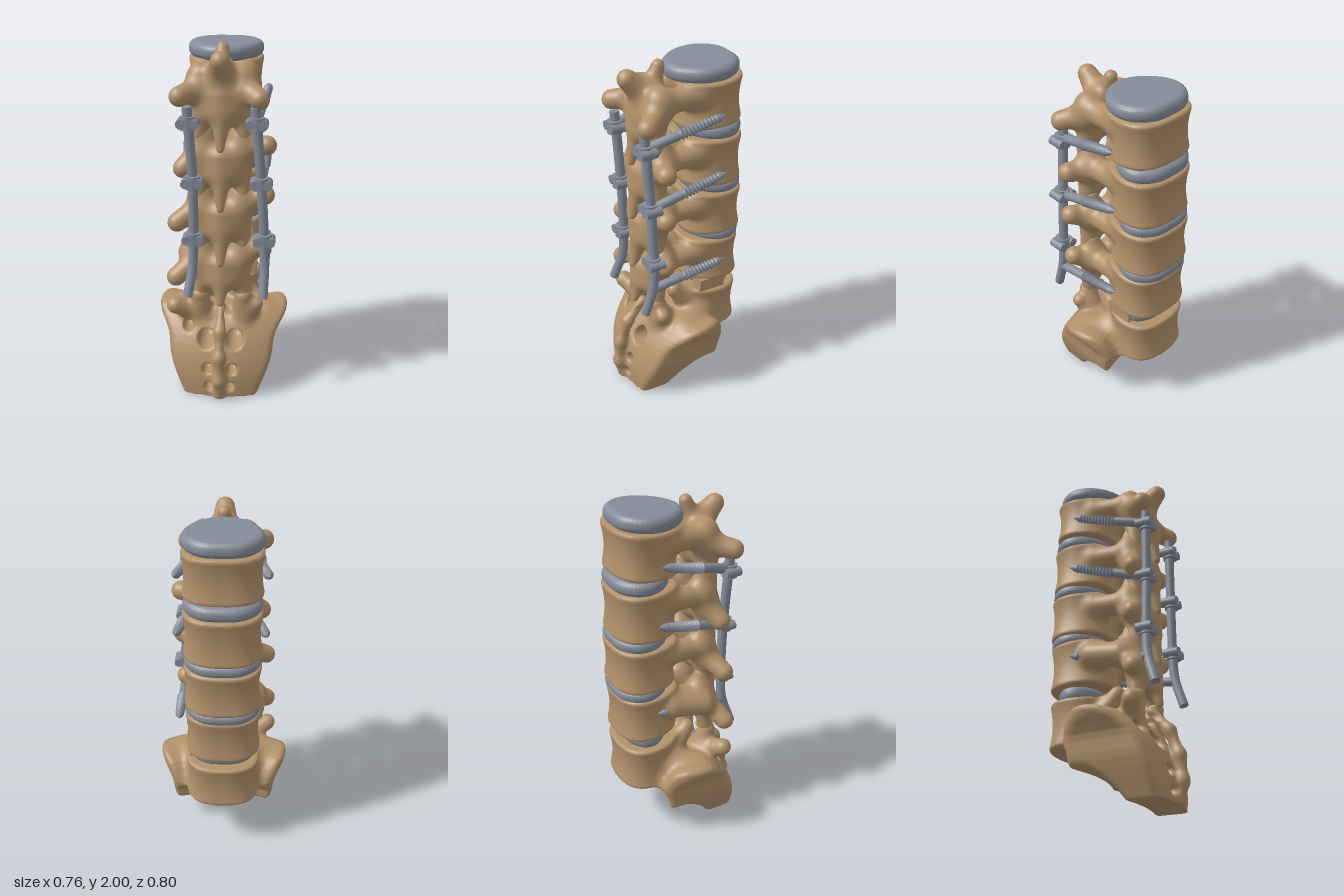
import * as THREE from 'three';

const bone = new THREE.MeshStandardMaterial({ color: 0xb2916b });
bone.name = 'bone tan';
const steel = new THREE.MeshStandardMaterial({ color: 0x858c99 });
steel.name = 'implant grey';

const V = (x, y, z) => new THREE.Vector3(x, y, z);
const clamp = THREE.MathUtils.clamp;

// ---- soft-blended solids, given as distance functions ----
const smin = (a, b, k) => {
  const h = Math.max(k - Math.abs(a - b), 0) / k;
  return Math.min(a, b) - h * h * k / 4;
};
const smax = (a, b, k) => -smin(-a, -b, k);

// tapered limb from a to b: [ax,ay,az, bx,by,bz, ra,rb]
function limb(x, y, z, [ax, ay, az, bx, by, bz, ra, rb]) {
  const dx = bx - ax, dy = by - ay, dz = bz - az, px = x - ax, py = y - ay, pz = z - az;
  const t = clamp((px * dx + py * dy + pz * dz) / (dx * dx + dy * dy + dz * dz), 0, 1);
  return Math.hypot(px - t * dx, py - t * dy, pz - t * dz) - ra - (rb - ra) * t;
}

// waisted drum with rounded rims; z is positive towards the arch
function drum(x, y, z, H, slope) {
  y -= slope * z;
  const waist = 0.018 * (1 - Math.min(1, (y / H) ** 2));
  const rz = 0.188 - waist, rx = (0.217 - waist) * (1 - 0.12 * clamp(z / rz, 0, 1));
  const d = ((Math.abs(x / rx) ** 2.6 + Math.abs(z / rz) ** 2.6) ** (1 / 2.6) - 1) * rz;
  return smax(d, Math.abs(y) - H, 0.025);
}

// signed distance to a closed outline
function outline(u, v, pts) {
  let d = Infinity, inside = false;
  pts.forEach(([ax, ay], i) => {
    const [bx, by] = pts[(i + 1) % pts.length];
    const ex = bx - ax, ey = by - ay;
    const t = clamp(((u - ax) * ex + (v - ay) * ey) / (ex * ex + ey * ey), 0, 1);
    d = Math.min(d, Math.hypot(u - ax - t * ex, v - ay - t * ey));
    if ((ay > v) !== (by > v) && u < ax + ex * (v - ay) / ey) inside = !inside;
  });
  return inside ? -d : d;
}

// closed smooth curve through a few flat points
const smoothLoop = (pts, n) => new THREE.CatmullRomCurve3(pts.map(([x, y]) => V(x, y, 0)), true)
  .getPoints(n).slice(0, -1).map(p => [p.x, p.y]);

// skin a distance function with quads (surface nets) and smooth normals
function skin(f, lo, hi, h = 0.012) {
  const n = lo.map((a, i) => Math.ceil((hi[i] - a) / h) + 1);
  const step = [1, n[0], n[0] * n[1]];
  const val = new Float32Array(n[0] * n[1] * n[2]), id = new Int32Array(val.length).fill(-1);
  const each = (m, fn) => {
    for (let k = 0; k < n[2] - m; k++) for (let j = 0; j < n[1] - m; j++) for (let i = 0; i < n[0] - m; i++)
      fn([i, j, k], i + j * step[1] + k * step[2]);
  };
  each(0, (c, s) => { val[s] = f(lo[0] + c[0] * h, lo[1] + c[1] * h, lo[2] + c[2] * h); });
  const pos = [], nor = [], idx = [];
  each(1, (c, s) => {
    const sum = [0, 0, 0];
    let hits = 0;
    for (let a = 0; a < 3; a++) for (let q = 0; q < 4; q++) {
      const o = [0, 0, 0];
      o[(a + 1) % 3] = q & 1;
      o[(a + 2) % 3] = q >> 1;
      const p = s + o[0] + o[1] * step[1] + o[2] * step[2], v0 = val[p], v1 = val[p + step[a]];
      if ((v0 < 0) === (v1 < 0)) continue;
      o[a] = v0 / (v0 - v1);
      for (let m = 0; m < 3; m++) sum[m] += o[m];
      hits++;
    }
    if (!hits) return;
    id[s] = pos.length / 3;
    const [x, y, z] = sum.map((t, m) => lo[m] + (c[m] + t / hits) * h), e = 0.004;
    pos.push(x, y, z);
    const g = V(f(x + e, y, z) - f(x - e, y, z), f(x, y + e, z) - f(x, y - e, z), f(x, y, z + e) - f(x, y, z - e));
    nor.push(...g.normalize().toArray());
  });
  each(1, (c, s) => {
    for (let a = 0; a < 3; a++) {
      const b = (a + 1) % 3, d = (a + 2) % 3;
      if (!c[b] || !c[d] || (val[s] < 0) === (val[s + step[a]] < 0)) continue;
      const q = [s - step[b] - step[d], s - step[d], s, s - step[b]].map(t => id[t]);
      if (val[s] >= 0) q.reverse();
      idx.push(q[0], q[1], q[2], q[0], q[2], q[3]);
    }
  });
  const geo = new THREE.BufferGeometry();
  geo.setAttribute('position', new THREE.Float32BufferAttribute(pos, 3));
  geo.setAttribute('normal', new THREE.Float32BufferAttribute(nor, 3));
  return geo.setIndex(idx);
}

const both = l => [l, l.map((v, i) => (i === 0 || i === 3 ? -v : v))];

export function createModel() {
  const model = new THREE.Group();
  const add = (name, geo, mat, parent = model) => {
    const m = new THREE.Mesh(geo, mat);
    m.name = name;
    parent.add(m);
    return m;
  };
  const bar = (name, a, b, r, parent) => {
    const m = add(name, new THREE.CylinderGeometry(r, r, a.distanceTo(b), 20), steel, parent);
    m.position.lerpVectors(a, b, 0.5);
    m.quaternion.setFromUnitVectors(V(0, 1, 0), b.clone().sub(a).normalize());
  };

  // vertebrae: body, pedicles, lamina, spine and side processes
  const levels = [
    { y: 1.765, z: -0.186, H: 0.128, slope: -0.07, left: [0.205, -0.04, 0.25], right: [-0.215, -0.03, 0.255], top: true },
    { y: 1.43, z: -0.197, H: 0.137, slope: 0.01, left: [0.245, 0.03, 0.165], right: [-0.21, -0.1, 0.19] },
    { y: 1.11, z: -0.205, H: 0.13, slope: 0.01, left: [0.24, 0.07, 0.165], right: [-0.245, -0.09, 0.2] },
    { y: 0.805, z: -0.197, H: 0.134, slope: 0.05, left: [0.23, 0.08, 0.165], right: [-0.255, -0.11, 0.21], last: true },
  ];
  levels.forEach((L, i) => {
    const tail = L.last ? -0.25 : -0.31;
    const limbs = [
      ...both([0.12, 0.05, -0.08, 0.12, 0.04, 0.11, 0.068, 0.06]),
      ...both([0.11, 0.06, 0.14, 0.05, -0.12, 0.185, 0.07, 0.06]),
      ...both([0.1, -0.02, 0.15, 0.12, L.last ? -0.2 : -0.25, 0.165, 0.065, 0.045]),
      [0, -0.04, 0.185, 0, tail, 0.25, 0.075, 0.022],
      [0.11, 0.01, 0.13, ...L.left, 0.06, 0.054],
      [-0.11, 0.0, 0.13, ...L.right, 0.06, 0.054],
    ];
    if (L.top) limbs.push(
      [0, 0.02, 0.15, 0, 0.197, 0.085, 0.07, 0.036],
      [0, 0.06, 0.16, 0, 0.155, 0.262, 0.08, 0.052]);
    else limbs.push(...both([0.11, 0.05, 0.12, 0.115, 0.16, 0.13, 0.055, 0.04]));
    // side mass that buries the lowest screw
    if (L.last) limbs.push([-0.17, 0.03, -0.08, -0.19, 0.0, 0.1, 0.065, 0.065]);
    const f = (x, y, z) => limbs.reduce((d, l) => smin(d, limb(x, y, z, l), 0.05), drum(x, y, z - L.z, L.H, L.slope));
    add('vertebra' + (i + 1), skin(f, [-0.34, -0.37, -0.43], [0.34, 0.27, 0.36]), bone).position.y = L.y;
  });

  // sacrum: side, front and plan outlines crossed, plus first body, crest, knobs and openings
  const side = smoothLoop([[0.34, 0.15], [0.31, 0.26], [0.25, 0.37], [0.16, 0.46], [0.03, 0.49], [-0.08, 0.45],
    [-0.145, 0.34], [-0.11, 0.25], [-0.1, 0.18], [0.0, 0.165], [0.09, 0.1], [0.16, 0], [0.2, -0.1], [0.32, -0.1],
    [0.345, 0.03]], 45);
  const front = smoothLoop([[-0.6, -0.1], [0.17, -0.12], [0.215, 0], [0.29, 0.2], [0.315, 0.34], [0.395, 0.465],
    [0.35, 0.495], [0.24, 0.48], [0, 0.49], [-0.6, 0.49]], 40);
  const crest = [[0.52, 0.2], [0.4, 0.305], [0.26, 0.358], [0.12, 0.372], [-0.03, 0.34]];
  const knobs = [
    ...crest.slice(1).map(([y, z], i) => [0, ...crest[i], 0, y, z, 0.028, 0.028]),
    ...both([0.12, 0.42, 0.13, 0.125, 0.57, 0.17, 0.08, 0.05]),
    ...both([0.1, 0.48, -0.06, 0.1, 0.61, 0.045, 0.07, 0.045]),
    ...both([0.11, 0.43, -0.12, 0.24, 0.41, 0.04, 0.09, 0.075]),
    [-0.17, 0.46, 0.15, -0.265, 0.51, 0.2, 0.055, 0.05],
    [0.15, 0.46, 0.15, 0.2, 0.52, 0.17, 0.05, 0.04],
  ];
  const holes = [[0.08, 0.33, 0.05], [0.07, 0.17, 0.029], [0.06, 0.065, 0.025], [0.045, 0.48, 0.026]]
    .flatMap(([x, y, r]) => both([x, y, 0.45, x, y, y > 0.3 ? 0.14 : 0.26, r, r]));
  holes.push([-0.19, 0.385, 0.45, -0.19, 0.385, 0.14, 0.03, 0.03]);
  const sacrum = (x, y, z) => {
    const w = z - 0.03, plan = (Math.hypot(x / 0.388, w / (w < 0 ? 0.32 : 0.41)) - 1) * 0.35;
    let d = smax(outline(z + 0.7 * x * x, y, side), outline(Math.abs(x), y, front), 0.04);
    d = smax(d, plan, 0.03);
    d = smin(d, drum(x, y - 0.462, z + 0.192, 0.136, 0.02), 0.07);
    for (const k of knobs) d = smin(d, limb(x, y, z, k), 0.04);
    for (const o of holes) d = smax(d, -limb(x, y, z, o), 0.015);
    return Math.max(d, -y);
  };
  add('sacrum', skin(sacrum, [-0.43, -0.021, -0.43], [0.43, 0.7, 0.43]), bone);

  // discs: rounded plates, broad at -z and narrower towards the arch
  const plate = (name, y, z0, z1, w, t, tilt) => {
    const b = t * 0.45, zc = (z0 + z1) / 2, r = (z1 - z0) / 2 - b, hw = w - b;
    const pts = [[0, -1], [0.55, -0.92], [0.93, -0.5], [1, -0.08], [0.86, 0.4], [0.5, 0.83], [0.15, 0.99]];
    const ring = [...pts, ...pts.slice(1).reverse().map(([x, z]) => [-x, z])].map(([x, z]) => [x * hw, -z * r]);
    const shape = new THREE.Shape(smoothLoop(ring, 64).map(p => new THREE.Vector2(...p)));
    const geo = new THREE.ExtrudeGeometry(shape, {
      depth: t - 2 * b, bevelThickness: b, bevelSize: b, bevelSegments: 6, curveSegments: 1,
    });
    geo.translate(0, 0, -t / 2 + b).rotateX(-Math.PI / 2);
    const m = add(name, geo, steel);
    m.position.set(0, y, zc);
    m.rotation.x = tilt;
  };
  plate('topDisc', 1.932, -0.355, 0.045, 0.21, 0.085, 0.05);
  plate('disc1', 1.6, -0.375, -0.045, 0.205, 0.08, 0);
  plate('disc2', 1.27, -0.385, -0.055, 0.205, 0.07, -0.02);
  plate('disc3', 0.96, -0.385, -0.055, 0.205, 0.07, -0.05);
  plate('lowerDisc', 0.635, -0.33, -0.08, 0.18, 0.1, 0);
  // bone graft block beside the lowest disc
  add('graftBlock', new THREE.BoxGeometry(0.09, 0.075, 0.16), bone).position.set(0.145, 0.637, -0.165);

  // screw profile: smooth shank, then ring threads and a pointed tip
  const screwGeo = len => {
    const p = [[0, 0], [0.026, 0], [0.026, len * 0.4]], start = len * 0.42, pitch = (len * 0.9 - start) / 11;
    for (let i = 0; i < 11; i++) {
      const r = 0.032 - i * 0.0007, y = start + i * pitch;
      p.push([0.019, y], [r, y + pitch * 0.4], [r, y + pitch * 0.52], [0.019, y + pitch * 0.92]);
    }
    p.push([0.022, len * 0.91], [0, len]);
    return new THREE.LatheGeometry(p.map(([x, y]) => new THREE.Vector2(x, y)), 18);
  };

  // rods, clamps and screws on each side
  const sides = [
    ['left', [0.185, 0.22, 0.24, 0.245, 0.24], [0.247, 0.25, 0.25]],
    ['right', [-0.175, -0.15, -0.15, -0.155, -0.18], [-0.24, -0.235, -0.205]],
  ];
  sides.forEach(([name, xs, tips]) => {
    const g = new THREE.Group();
    g.name = name + 'Fixation';
    model.add(g);
    const ys = [1.68, 1.27, 0.95, 0.79, 0.62], zs = [0.26, 0.247, 0.242, 0.25, 0.3];
    const path = new THREE.CatmullRomCurve3(ys.map((y, i) => V(xs[i], y, zs[i])));
    add('rod', new THREE.TubeGeometry(path, 48, 0.027, 16), steel, g);
    for (const t of [0, 1]) {
      const p = path.getPoint(t), d = path.getTangent(t).multiplyScalar(0.004);
      bar('rodEnd', p.clone().sub(d), p.clone().add(d), 0.027, g);
    }
    const onRod = y => path.getPoints(120).reduce((a, p) => (Math.abs(p.y - y) < Math.abs(a.y - y) ? p : a));
    // clamps: saddle ring with two locking lugs
    for (const y of [1.6, 1.27, 0.945]) {
      const p = onRod(y).clone().add(V(0, 0, 0.006));
      bar('clampRing', p.clone().add(V(0, -0.036, 0)), p.clone().add(V(0, 0.036, 0)), 0.042, g);
      for (const k of [-1, 1]) {
        const c = p.clone().add(V(k * 0.036, 0, 0));
        bar('clampLug', c.clone().add(V(0, 0, -0.05)), c.clone().add(V(0, 0, 0.042)), 0.026, g);
      }
    }
    [[1.605, 1.73, -0.185], [1.275, 1.395, -0.205], [0.775, 0.84, -0.205]].forEach(([y0, y1, z1], i) => {
      const a = onRod(y0), b = V(tips[i], y1, z1);
      const m = add('screw', screwGeo(a.distanceTo(b)), steel, g);
      m.position.copy(a);
      m.quaternion.setFromUnitVectors(V(0, 1, 0), b.clone().sub(a).normalize());
    });
  });
  return model;
}
